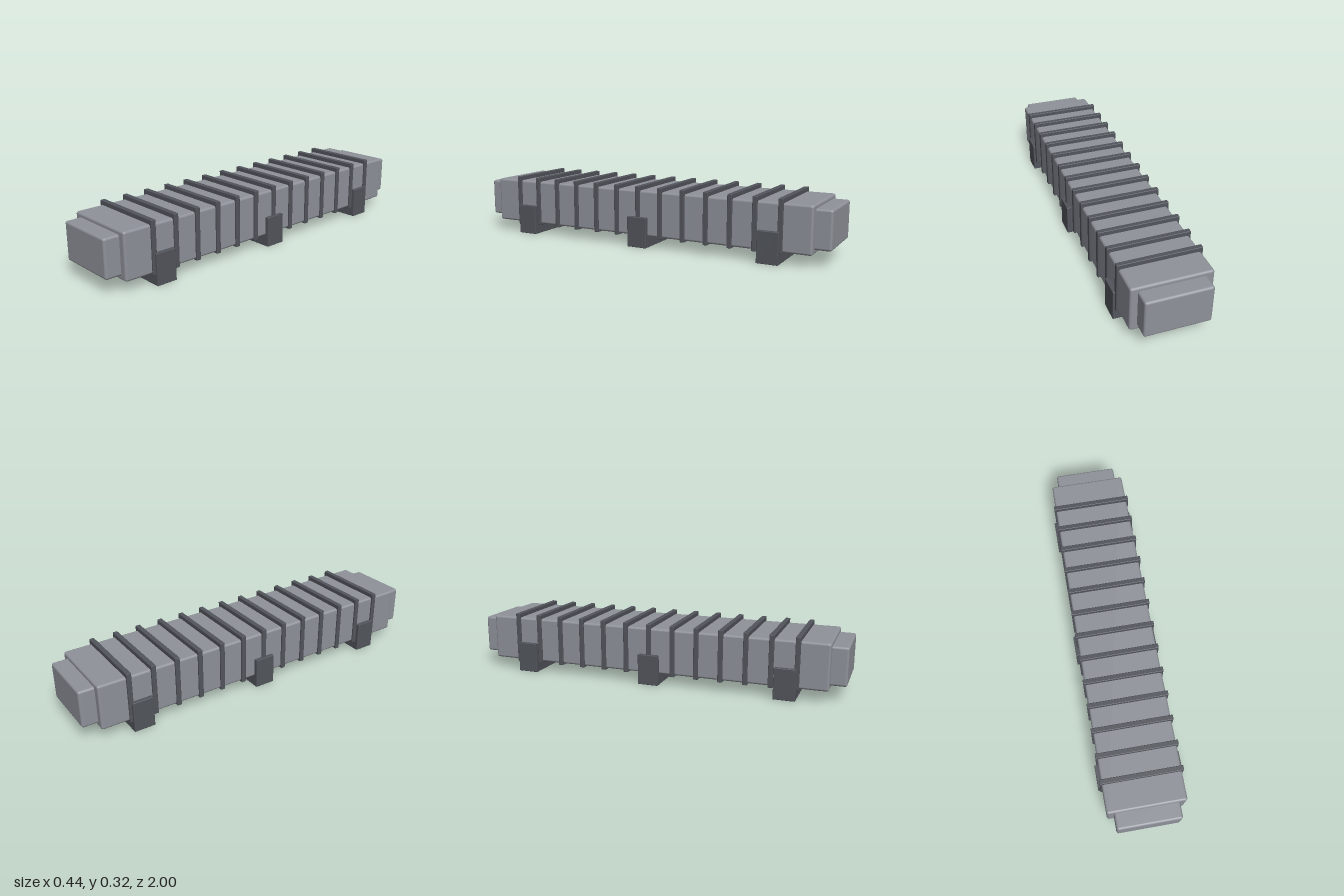
import * as THREE from 'three';
import { RoundedBoxGeometry } from 'three/addons/geometries/RoundedBoxGeometry.js';

const lightGrey = new THREE.MeshStandardMaterial({ name: 'lightGrey', color: 0x8f929a });
const darkGrey = new THREE.MeshStandardMaterial({ name: 'darkGrey', color: 0x52555c });

// Rounded block given by its half width, bottom, top, length and centre in z
function block(name, material, halfWidth, bottom, top, length, z, radius, x = 0) {
  const geometry = new RoundedBoxGeometry(halfWidth * 2, top - bottom, length, 3, radius);
  const mesh = new THREE.Mesh(geometry, material);
  mesh.name = name;
  mesh.position.set(x, (bottom + top) / 2, z);
  return mesh;
}

export function createModel() {
  const model = new THREE.Group();
  model.name = 'ribbedDuct';

  // Long main body
  model.add(block('body', lightGrey, 0.199, 0.06, 0.298, 1.84, 0, 0.012));

  // Smaller caps on both ends
  for (const side of [-1, 1]) {
    model.add(block('endCap', lightGrey, 0.163, 0.082, 0.278, 0.12, side * 0.94, 0.012));
  }

  // Evenly spaced ribs around the body
  const ribs = new THREE.Group();
  ribs.name = 'ribs';
  for (let i = -6; i <= 6; i++) {
    ribs.add(block('rib', darkGrey, 0.208, 0.053, 0.32, 0.025, i * 0.1277, 0.003));
  }
  model.add(ribs);

  // Cradle brackets: a base with a cheek on each side
  for (const z of [-0.71, 0, 0.71]) {
    const bracket = new THREE.Group();
    bracket.name = 'bracket';
    bracket.add(block('bracketBase', darkGrey, 0.219, 0, 0.07, 0.11, z, 0.003));
    for (const side of [-1, 1]) {
      bracket.add(block('bracketCheek', darkGrey, 0.0125, 0.003, 0.16, 0.11, z, 0.003, side * 0.2065));
    }
    model.add(bracket);
  }

  return model;
}
